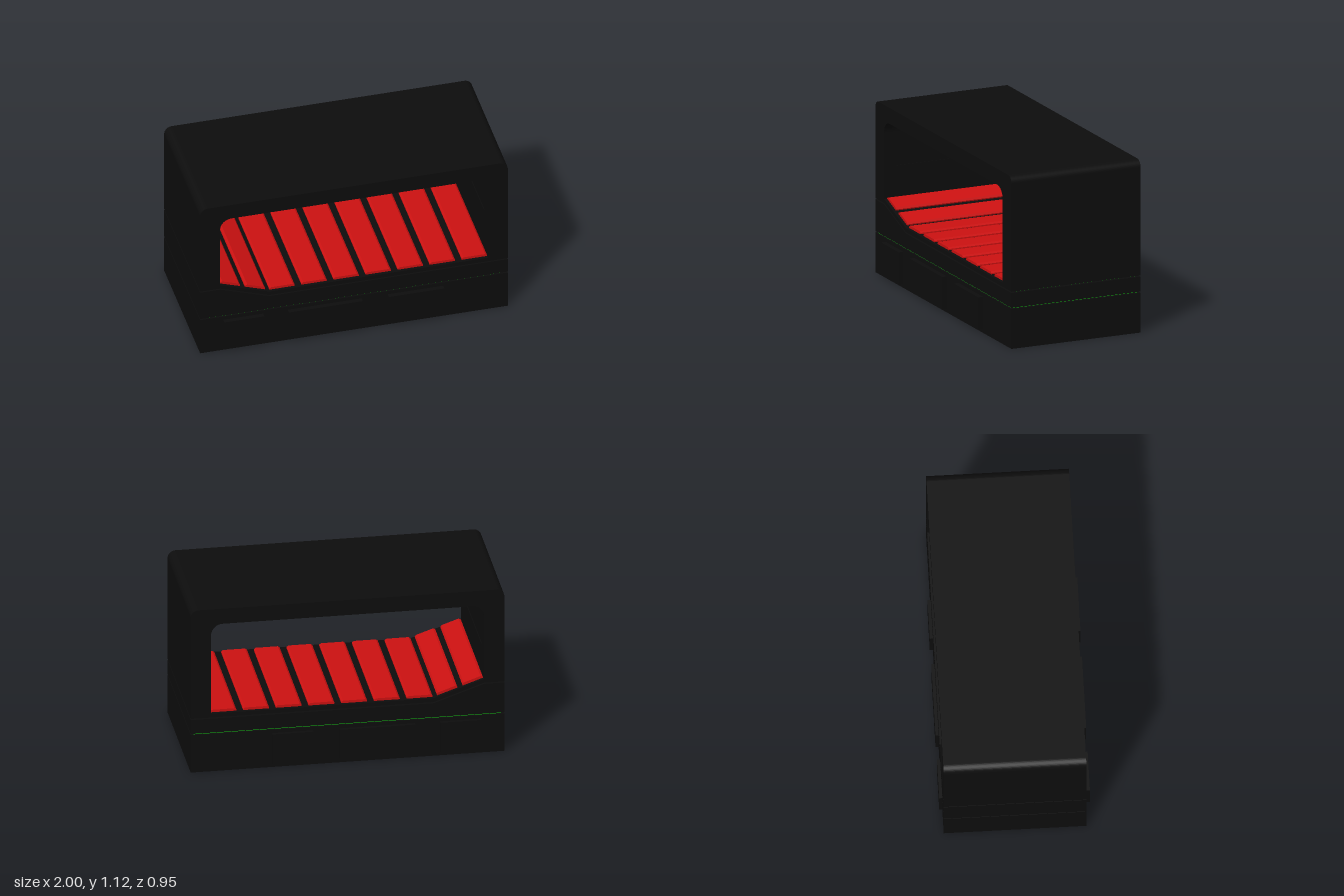
import * as THREE from 'three';

const black = new THREE.MeshStandardMaterial({ color: 0x0d0d0d });
const red = new THREE.MeshStandardMaterial({ color: 0xcc1111 });
const green = new THREE.MeshStandardMaterial({ color: 0x11cc11 });
const FRONT = 0.445, BACK = -0.455;

function add(group, name, geometry, material) {
  const mesh = new THREE.Mesh(geometry, material);
  mesh.name = name;
  group.add(mesh);
  return mesh;
}

// Extrude an outline in x/y from z0 to z1
function slab(shape, z0, z1) {
  const geometry = new THREE.ExtrudeGeometry(shape, { depth: z1 - z0, bevelEnabled: false, curveSegments: 10 });
  return geometry.translate(0, 0, z0);
}

function box(x0, x1, y0, y1, z0, z1) {
  return new THREE.BoxGeometry(x1 - x0, y1 - y0, z1 - z0)
    .translate((x0 + x1) / 2, (y0 + y1) / 2, (z0 + z1) / 2);
}

// Seam between middle layer and hood: raised at the head end (-x)
const seam = (half, dy) => [[-half, 0.475 + dy], [-0.87, 0.475 + dy], [-0.55, 0.365 + dy], [half, 0.365 + dy]]
  .map(([x, y]) => new THREE.Vector2(x, y));

// Outline with arched (rounded) top corners above a given bottom polyline
function arch(PathType, bottom, top, r) {
  const path = new PathType();
  const a = bottom[0], b = bottom[bottom.length - 1];
  path.moveTo(a.x, a.y);
  bottom.slice(1).forEach((p) => path.lineTo(p.x, p.y));
  path.lineTo(b.x, top - r);
  path.absarc(b.x - r, top - r, r, 0, Math.PI / 2, false);
  path.lineTo(a.x + r, top);
  path.absarc(a.x + r, top - r, r, Math.PI / 2, Math.PI, false);
  path.closePath();
  return path;
}

export function createModel() {
  const model = new THREE.Group();
  model.name = 'sleepingPod';

  // Base block and the lower light strip in its groove
  add(model, 'base', box(-1, 1, 0, 0.26, BACK, FRONT), black);
  add(model, 'lowerLightStrip', box(-0.98, 0.98, 0.259, 0.27, BACK + 0.01, FRONT - 0.01), green);

  // Middle layer, sloping up toward the head end
  const middle = new THREE.Shape([new THREE.Vector2(-1, 0.268), new THREE.Vector2(1, 0.268), ...seam(1, 0).reverse()]);
  add(model, 'middleLayer', slab(middle, BACK, FRONT), black);

  // Upper light strip follows the slope
  const strip = new THREE.Shape([...seam(0.975, -0.001), ...seam(0.975, 0.01).reverse()]);
  add(model, 'upperLightStrip', slab(strip, BACK + 0.025, FRONT - 0.025), green);

  // Hood with the large opening through it
  const hood = arch(THREE.Shape, seam(1, 0.008), 1.125, 0.05);
  const floor = [[-0.87, 0.51], [-0.55, 0.4], [0.87, 0.4]].map(([x, y]) => new THREE.Vector2(x, y));
  hood.holes.push(arch(THREE.Path, floor, 1.02, 0.075));
  add(model, 'hood', slab(hood, BACK, FRONT), black);

  // Long rail on each inner end wall
  for (const s of [-1, 1]) {
    add(model, 'wallRail', box(s * 0.87 - 0.004, s * 0.87 + 0.004, 0.65, 0.72, BACK + 0.08, FRONT - 0.08), black);
  }

  // Mattress pads with chamfered edges: seven flat, two on the slope
  const mattress = new THREE.Group();
  mattress.name = 'mattress';
  model.add(mattress);
  function pad(x, y, width, angle) {
    const profile = new THREE.Shape([[0, -0.002], [width, -0.002], [width, 0.008], [width - 0.012, 0.017],
      [0.012, 0.017], [0, 0.008]].map((p) => new THREE.Vector2(...p)));
    const mesh = add(mattress, 'pad', slab(profile, BACK + 0.02, FRONT - 0.02), red);
    mesh.position.set(x, y, 0);
    mesh.rotation.z = angle;
  }
  for (let i = 0; i < 7; i++) pad(-0.545 + i * 0.2085, 0.4, 0.165, 0);
  const slope = Math.atan2(-0.11, 0.32);
  for (const x of [-0.868, -0.705]) pad(x, 0.4 + (-0.55 - x) * 0.11 / 0.32, 0.138, slope);

  // Drawer fronts on both long sides
  for (const [x0, x1] of [[-0.85, -0.59], [-0.43, 0.05], [0.22, 0.58]]) {
    add(model, 'frontDrawer', box(x0, x1, 0.025, 0.235, FRONT - 0.01, 0.475), black);
  }
  for (const [x0, x1] of [[-0.85, -0.59], [-0.43, 0.05], [0.22, 0.48]]) {
    add(model, 'backDrawer', box(x0, x1, 0.025, 0.235, -0.475, BACK + 0.01), black);
  }
  return model;
}
